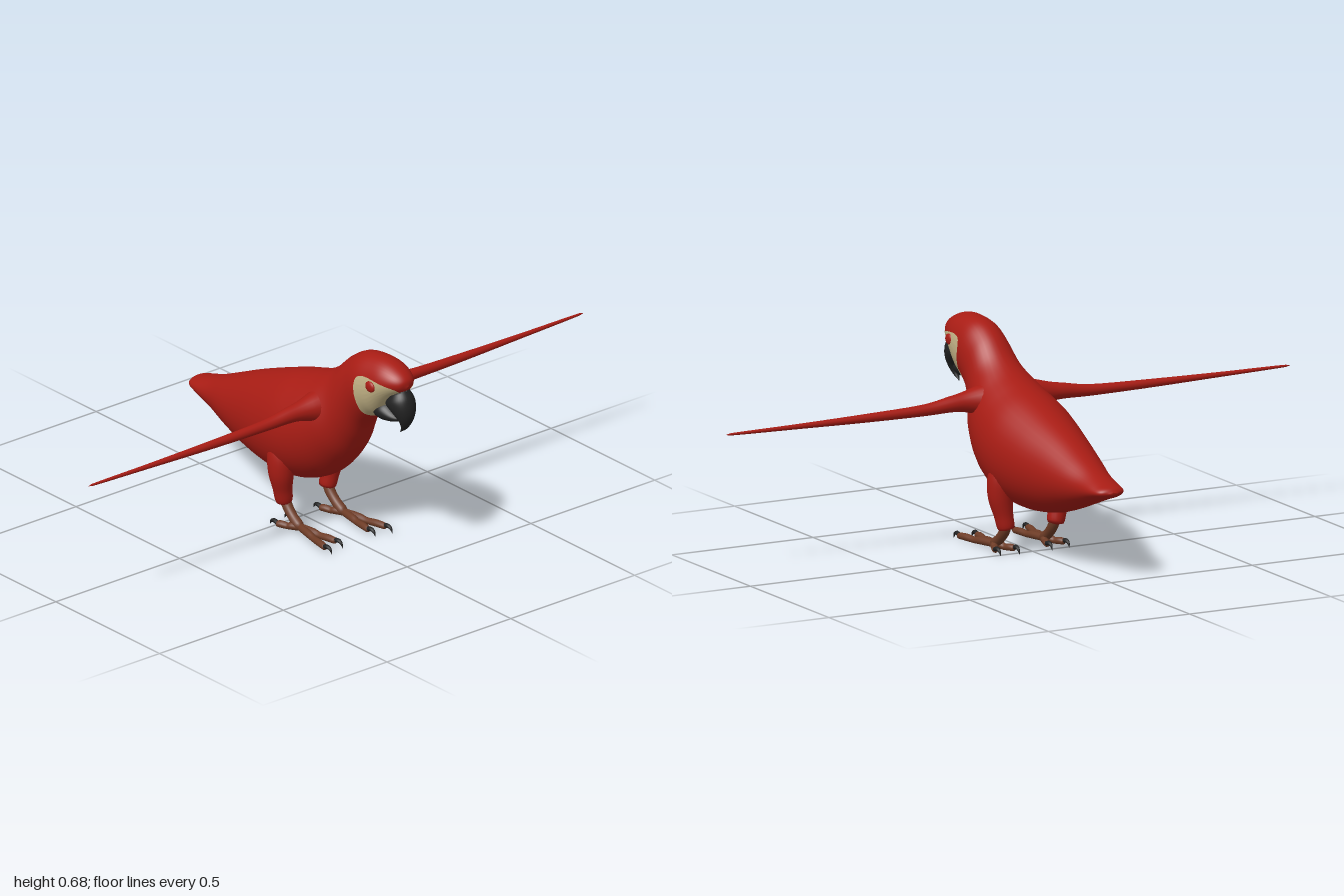
import * as THREE from 'three';
import { mergeVertices } from 'three/addons/utils/BufferGeometryUtils.js';

const mat = (color, side = THREE.FrontSide) => new THREE.MeshStandardMaterial({ color, side });
const RED = mat(0xa81c14), BLACK = mat(0x222222), BROWN = mat(0x6e3c26);
const CREAM = mat(0xc0b084, THREE.DoubleSide);
const V = (x, y, z) => new THREE.Vector3(x, y, z);

function smooth(geometry) {
  geometry.deleteAttribute('uv');
  geometry.deleteAttribute('normal');
  const g = mergeVertices(geometry, 1e-5);
  g.computeVertexNormals();
  return g;
}

// Loft of ellipses: each section is [z1, y1, z2, y2, half width], flip turns the winding
function loft(sections, flip, steps = 6, sides = 40) {
  const curve = f => new THREE.CatmullRomCurve3(sections.map(f), false, 'catmullrom');
  const a = curve(s => V(s[4], s[1], s[0])), b = curve(s => V(s[4], s[3], s[2]));
  const n = (sections.length - 1) * steps, pos = [], idx = [];
  for (let i = 0; i <= n; i++) {
    const p = a.getPoint(i / n), q = b.getPoint(i / n);
    for (let j = 0; j < sides; j++) {
      const t = j / sides * Math.PI * 2, k = (1 + Math.cos(t)) / 2;
      pos.push(Math.sin(t) * Math.max(p.x, 0) * (flip ? -1 : 1), q.y + (p.y - q.y) * k, q.z + (p.z - q.z) * k);
      if (i < n) {
        const c = i * sides + j, d = i * sides + (j + 1) % sides;
        idx.push(c, d, c + sides, d, d + sides, c + sides);
      }
    }
  }
  // end caps
  for (let j = 1; j < sides - 1; j++) {
    idx.push(0, j + 1, j, n * sides, n * sides + j, n * sides + j + 1);
  }
  const g = new THREE.BufferGeometry();
  g.setAttribute('position', new THREE.Float32BufferAttribute(pos, 3));
  g.setIndex(idx);
  g.computeVertexNormals();
  return g;
}

// Tube whose radius changes along its path: each point is [x, y, z, radius]
function limb(points, sides = 14, steps = 6) {
  const path = new THREE.CatmullRomCurve3(points.map(p => V(p[0], p[1], p[2])), false, 'catmullrom');
  const radii = new THREE.CatmullRomCurve3(points.map(p => V(p[3], 0, 0)), false, 'catmullrom');
  path.arcLengthDivisions = 400;
  const n = (points.length - 1) * steps, g = new THREE.TubeGeometry(path, n, 1, sides);
  const pos = g.attributes.position, v = V(0, 0, 0);
  for (let i = 0; i <= n; i++) {
    const c = path.getPointAt(i / n), r = Math.max(radii.getPoint(path.getUtoTmapping(i / n)).x, 0);
    for (let j = 0; j <= sides; j++) {
      const k = i * (sides + 1) + j;
      v.fromBufferAttribute(pos, k).sub(c).multiplyScalar(r).add(c);
      pos.setXYZ(k, v.x, v.y, v.z);
    }
  }
  return smooth(g);
}

function mirrored(geometry) {
  const g = geometry.clone().scale(-1, 1, 1), ix = g.index.array;
  for (let i = 0; i < ix.length; i += 3) [ix[i], ix[i + 1]] = [ix[i + 1], ix[i]];
  g.computeVertexNormals();
  return g;
}

// Bare cheek: an outline in the side plane laid onto the head
function cheek(surfaceAt) {
  const outline = [[.337, .60], [.345, .618], [.37, .627], [.435, .623], [.488, .606], [.472, .578],
    [.435, .547], [.405, .513], [.37, .478], [.352, .488], [.343, .53]];
  const edge = new THREE.CatmullRomCurve3(outline.map(p => V(0, p[1], p[0])), true, 'centripetal');
  const rings = 16, sides = 72, c = V(0, .575, .40), pos = [], idx = [];
  for (let i = 0; i <= rings; i++) {
    for (let j = 0; j < sides; j++) {
      const p = c.clone().lerp(edge.getPoint(j / sides), i / rings);
      pos.push(...surfaceAt(p.z, p.y, .002).toArray());
      const a = i * sides + j, b = i * sides + (j + 1) % sides;
      if (i < rings) idx.push(a, a + sides, b, b, a + sides, b + sides);
    }
  }
  const g = new THREE.BufferGeometry();
  g.setAttribute('position', new THREE.Float32BufferAttribute(pos, 3));
  g.setIndex(idx);
  return smooth(g);
}

export function createModel() {
  const model = new THREE.Group();
  const add = (name, geometry, material) => {
    const m = new THREE.Mesh(geometry, material);
    m.name = name;
    model.add(m);
    return m;
  };
  const pair = (name, geometry, material) => {
    add('left' + name, geometry, material);
    add('right' + name, mirrored(geometry), material);
  };

  // Head, body and tail in one smooth skin
  const body = add('body', loft([
    [.505, .618, .502, .608, .004], [.50, .64, .488, .595, .03], [.475, .661, .462, .577, .05],
    [.43, .679, .43, .543, .065], [.38, .684, .39, .492, .074], [.31, .674, .36, .472, .08],
    [.25, .64, .315, .425, .083], [.19, .585, .28, .36, .097], [.13, .548, .235, .285, .125],
    [.06, .522, .16, .205, .145], [-.02, .497, .06, .158, .153], [-.12, .46, -.05, .146, .14],
    [-.22, .42, -.18, .162, .115], [-.32, .375, -.29, .195, .09], [-.40, .34, -.38, .228, .067],
    [-.47, .316, -.46, .258, .055], [-.505, .305, -.50, .272, .042], [-.518, .292, -.518, .284, .012],
  ], false), RED);

  // Point on the left side of the body at a given z and y
  const ray = new THREE.Raycaster();
  body.updateMatrixWorld();
  const surfaceAt = (z, y, lift) => {
    ray.set(V(1, y, z), V(-1, 0, 0));
    const hit = ray.intersectObject(body)[0];
    return hit ? hit.point.addScaledVector(hit.face.normal, lift) : V(0, y, z);
  };

  pair('Cheek', cheek(surfaceAt), CREAM);

  const dot = (z, y, r) => {
    const p = surfaceAt(z, y, 0);
    return smooth(new THREE.SphereGeometry(r, 20, 14).scale(.4, .85, 1).translate(p.x, p.y, p.z));
  };
  pair('Eye', dot(.405, .604, .021), RED);
  pair('Nostril', dot(.492, .598, .007), BLACK);

  // Hooked beak
  add('upperBeak', loft([
    [.494, .602, .425, .56, .034], [.513, .575, .42, .54, .044], [.521, .54, .45, .52, .038],
    [.516, .506, .474, .50, .026], [.497, .473, .479, .478, .013], [.468, .452, .467, .453, .001],
  ], true), BLACK);
  add('lowerBeak', loft([
    [.385, .54, .365, .485, .04], [.42, .54, .40, .477, .045], [.45, .522, .435, .48, .036],
    [.47, .508, .462, .487, .022], [.482, .50, .48, .498, .003],
  ], true), BLACK);

  // Slender outstretched wings
  pair('Wing', limb([
    [.05, .455, .165, .065], [.10, .460, .167, .047], [.15, .461, .166, .032], [.20, .459, .164, .025],
    [.30, .451, .162, .018], [.50, .449, .161, .0135], [.75, .45, .159, .008], [.97, .452, .157, .004], [1, .452, .157, 0],
  ], 20, 8), RED);

  // Legs
  pair('Thigh', limb([
    [.095, .32, .005, .03], [.10, .25, .014, .045], [.104, .19, .017, .041], [.096, .13, .014, .031],
    [.087, .082, .011, .025], [.086, .075, .011, 0],
  ], 20), RED);
  pair('Shank', limb([
    [.086, .11, .008, .016], [.086, .075, .022, .017], [.087, .045, .05, .016], [.088, .022, .085, .016], [.088, .017, .105, 0],
  ]), BROWN);

  // Two toes point forward and two back: [end x, end z, direction]
  for (const [name, x, z, d] of [['FrontOuterToe', .122, .25, 1], ['FrontInnerToe', .066, .235, 1],
    ['BackOuterToe', .122, .018, -1], ['BackInnerToe', .058, .012, -1]]) {
    const z0 = .09, at = k => [.088 + (x - .088) * k, z0 + (z - z0) * k];
    const toe = [[0, .02, .012], [.35, .019, .0125], [.55, .016, .0105], [.8, .018, .0115], [1, .017, .009], [1.03, .016, 0]]
      .map(([k, y, r]) => [at(k)[0], y, at(k)[1], r]);
    pair(name, limb(toe, 12), BROWN);
    pair(name + 'Claw', limb([
      [x, .018, z - d * .008, .0075], [x, .023, z + d * .012, .007], [x, .018, z + d * .026, .0045], [x, .003, z + d * .034, 0],
    ], 10), BLACK);
  }
  return model;
}
